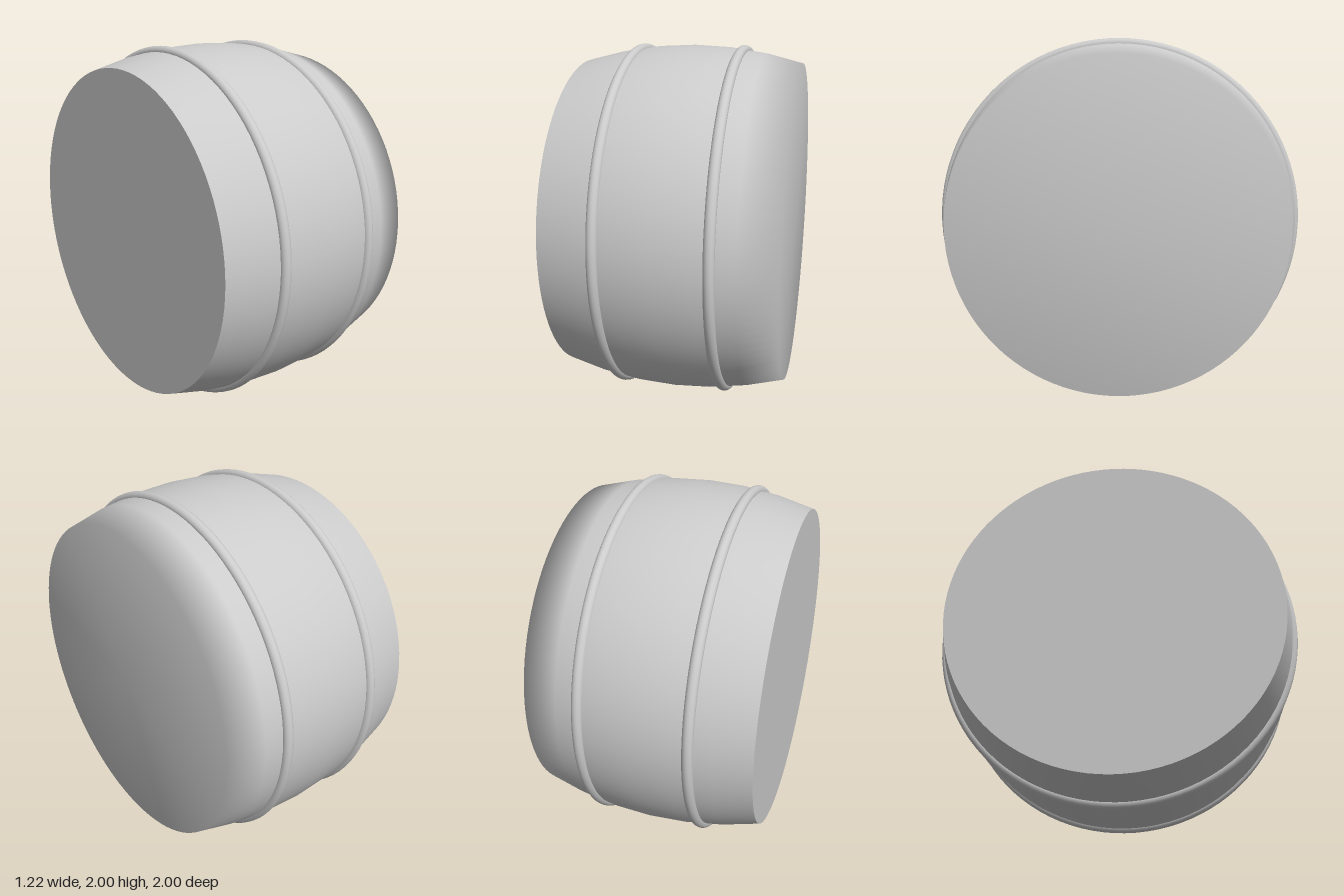
import * as THREE from 'three';

const HALF = 0.61, MID_R = 0.997, END_R = 0.905, SEGMENTS = 96;

export function createModel() {
  const group = new THREE.Group();
  const material = new THREE.MeshStandardMaterial({ color: 0xcccccc });

  const add = (name, geometry, x = 0) => {
    const mesh = new THREE.Mesh(geometry, material);
    mesh.name = name;
    mesh.position.set(x, 1, 0);
    group.add(mesh);
  };

  // Bulging body lying along x, its left end shaded softly into the side
  const profile = [-1, -0.67, -0.33, 0, 0.33, 0.67, 1].map(
    (t) => new THREE.Vector2(MID_R - (MID_R - END_R) * t * t, t * HALF)
  );
  profile.push(new THREE.Vector2(0, HALF));
  add('barrelBody', new THREE.LatheGeometry(profile, SEGMENTS).rotateZ(-Math.PI / 2));

  // Flat right end with a crisp rim
  add('rightEnd', new THREE.CircleGeometry(END_R, SEGMENTS).rotateY(-Math.PI / 2), -HALF);

  // Round hoops
  for (const [name, x] of [['rightHoop', -0.295], ['leftHoop', 0.282]]) {
    add(name, new THREE.TorusGeometry(0.971, 0.029, 16, SEGMENTS).rotateY(Math.PI / 2), x);
  }
  return group;
}
